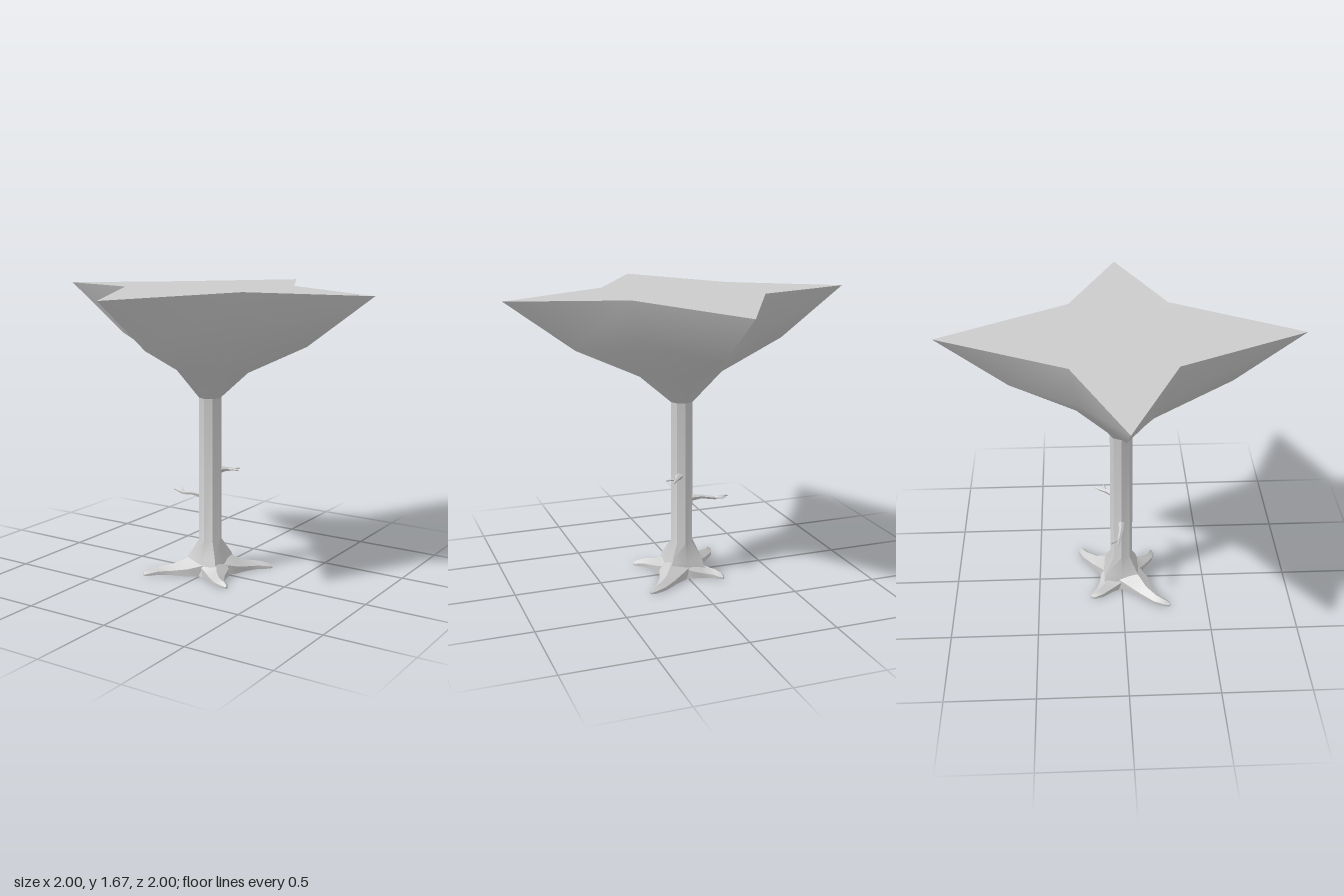
import * as THREE from 'three';
import { toCreasedNormals } from 'three/addons/utils/BufferGeometryUtils.js';

const material = new THREE.MeshStandardMaterial({ color: 0xcccccc });

// Skins a list of rings (arrays of Vector3 of equal length) and caps both ends.
function loft(rings, name, crease = 0.6) {
  const n = rings[0].length, pos = [];
  const tri = (...ps) => ps.forEach((p) => pos.push(p.x, p.y, p.z));
  const centre = (ring) => ring.reduce((s, p) => s.add(p), new THREE.Vector3()).divideScalar(n);
  const first = rings[0], last = rings[rings.length - 1];
  const bottom = centre(first), top = centre(last);
  for (let i = 0; i < n; i++) {
    const k = (i + 1) % n;
    for (let j = 0; j < rings.length - 1; j++) {
      const a = rings[j], b = rings[j + 1];
      tri(a[i], b[i], a[k]);
      tri(a[k], b[i], b[k]);
    }
    tri(bottom, first[i], first[k]);
    tri(top, last[k], last[i]);
  }
  const geometry = new THREE.BufferGeometry();
  geometry.setAttribute('position', new THREE.Float32BufferAttribute(pos, 3));
  const mesh = new THREE.Mesh(toCreasedNormals(geometry, crease), material);
  mesh.name = name;
  return mesh;
}

// Eight-point ring: four tips on the axes, four inner corners on the diagonals.
function starRing(tip, tipY, innerX, innerZ, innerY) {
  return Array.from({ length: 8 }, (_, i) => {
    const a = (i * Math.PI) / 4, c = Math.cos(a), s = Math.sin(a);
    return i % 2
      ? new THREE.Vector3(Math.sign(c) * innerX, innerY, Math.sign(s) * innerZ)
      : new THREE.Vector3(c * tip, tipY, s * tip);
  });
}
const octagon = (r, y) => starRing(r, y, r * Math.SQRT1_2, r * Math.SQRT1_2, y);

// Tapered limb along points [x, y, z, halfWidth, halfHeight], kept above the ground.
function limb(path, name, sides = 6) {
  const pts = path.map(([x, y, z]) => new THREE.Vector3(x, y, z));
  const rings = path.map(([, , , w, h], j) => {
    const t = pts[Math.min(j + 1, pts.length - 1)].clone().sub(pts[Math.max(j - 1, 0)]).normalize();
    const up = new THREE.Vector3(0, 1, 0).addScaledVector(t, -t.y).normalize();
    const side = up.clone().cross(t);
    return Array.from({ length: sides }, (_, i) => {
      const a = (i * 2 * Math.PI) / sides;
      const p = pts[j].clone().addScaledVector(up, h * Math.cos(a)).addScaledVector(side, w * Math.sin(a));
      p.y = Math.max(p.y, 0);
      return p;
    });
  });
  return loft(rings, name);
}

export function createModel() {
  const tree = new THREE.Group();
  tree.name = 'tree';

  // Star-shaped crown widening upward from the trunk
  tree.add(loft([
    octagon(0.065, 1.04),
    starRing(0.25, 1.2, 0.14, 0.13, 1.2),
    starRing(0.615, 1.37, 0.31, 0.23, 1.41),
    starRing(1, 1.655, 0.38, 0.28, 1.668),
  ], 'crown', 0.75));

  // Octagonal trunk with a flared foot
  tree.add(loft([
    starRing(0.12, 0, 0.12, 0.12, 0),
    starRing(0.1, 0.085, 0.09, 0.09, 0.11),
    octagon(0.066, 0.2),
    octagon(0.065, 1.04),
  ], 'trunk'));

  // Four roots spreading along the diagonals: tip x, tip z, sideways bend
  const roots = new THREE.Group();
  roots.name = 'roots';
  for (const [x, z, bend] of [[0.24, 0.2, 0.025], [0.28, -0.25, -0.02], [-0.28, 0.28, 0.02], [-0.19, -0.19, -0.02]]) {
    const at = (t, b, w, h) => [x * t - z * b, 0, z * t + x * b, w, h];
    roots.add(limb([
      at(0.15, 0, 0.1, 0.13),
      at(0.36, 0, 0.085, 0.09),
      at(0.55, bend * 2, 0.055, 0.056),
      at(0.78, bend * 3, 0.036, 0.042),
      at(0.93, bend, 0.026, 0.03),
      at(1, 0, 0.008, 0.016),
    ], 'root'));
  }
  tree.add(roots);

  // Small bare branches, each with a side twig
  const branches = new THREE.Group();
  branches.name = 'branches';
  branches.add(
    limb([[-0.03, 0.455, 0, 0.022, 0.024], [-0.12, 0.457, -0.005, 0.013, 0.012],
      [-0.2, 0.444, -0.02, 0.011, 0.01], [-0.275, 0.456, -0.03, 0.004, 0.006]], 'lowerBranch', 5),
    limb([[-0.2, 0.446, -0.02, 0.008, 0.008], [-0.25, 0.455, -0.07, 0.003, 0.004]], 'lowerTwig', 5),
    limb([[0.02, 0.61, -0.03, 0.03, 0.025], [0.055, 0.61, -0.08, 0.014, 0.013],
      [0.085, 0.604, -0.12, 0.009, 0.008], [0.105, 0.607, -0.155, 0.003, 0.003]], 'upperBranch', 5),
    limb([[0.065, 0.608, -0.09, 0.01, 0.008], [0.13, 0.608, -0.1, 0.003, 0.004]], 'upperTwig', 5),
  );
  tree.add(branches);

  return tree;
}
